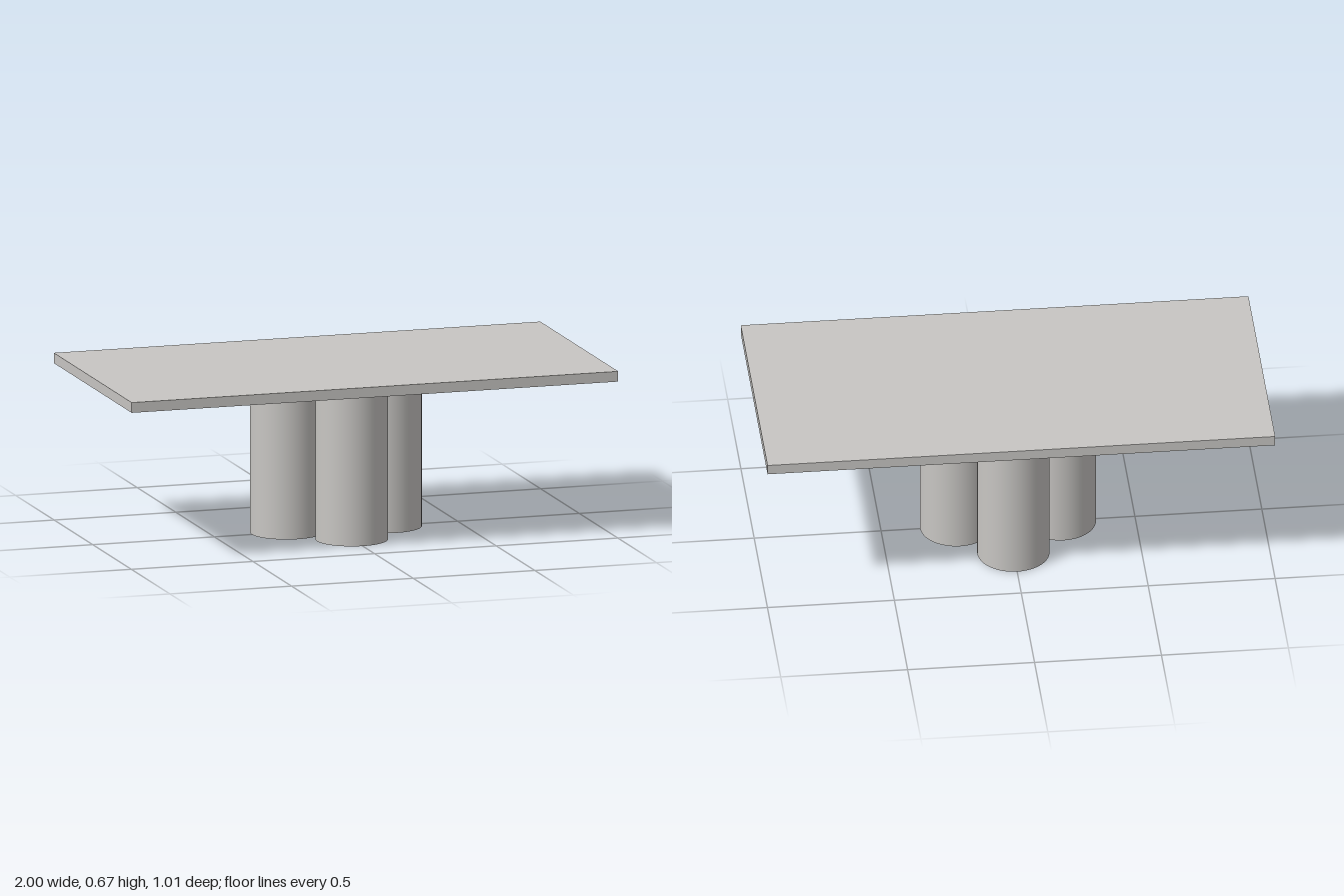
import * as THREE from 'three';

export function createModel() {
  const group = new THREE.Group();
  const stone = new THREE.MeshStandardMaterial({ color: 0xc8c6c3 });
  stone.name = 'warm grey';

  const height = 0.668, thickness = 0.041;
  const legHeight = height - thickness;
  const legRadius = 0.142, legOffset = 0.204;

  // Thin rectangular slab
  const top = new THREE.Mesh(new THREE.BoxGeometry(2, thickness, 1.01), stone);
  top.name = 'tableTop';
  top.position.y = height - thickness / 2;
  group.add(top);

  // Four round columns in a diamond cluster
  const legs = new THREE.Group();
  legs.name = 'pedestal';
  const legGeometry = new THREE.CylinderGeometry(legRadius, legRadius, legHeight, 64);
  const places = { frontLeg: [0, 1], leftLeg: [1, 0], backLeg: [0, -1], rightLeg: [-1, 0] };
  for (const [name, [x, z]] of Object.entries(places)) {
    const leg = new THREE.Mesh(legGeometry, stone);
    leg.name = name;
    leg.position.set(x * legOffset, legHeight / 2, z * legOffset);
    legs.add(leg);
  }
  group.add(legs);

  return group;
}
